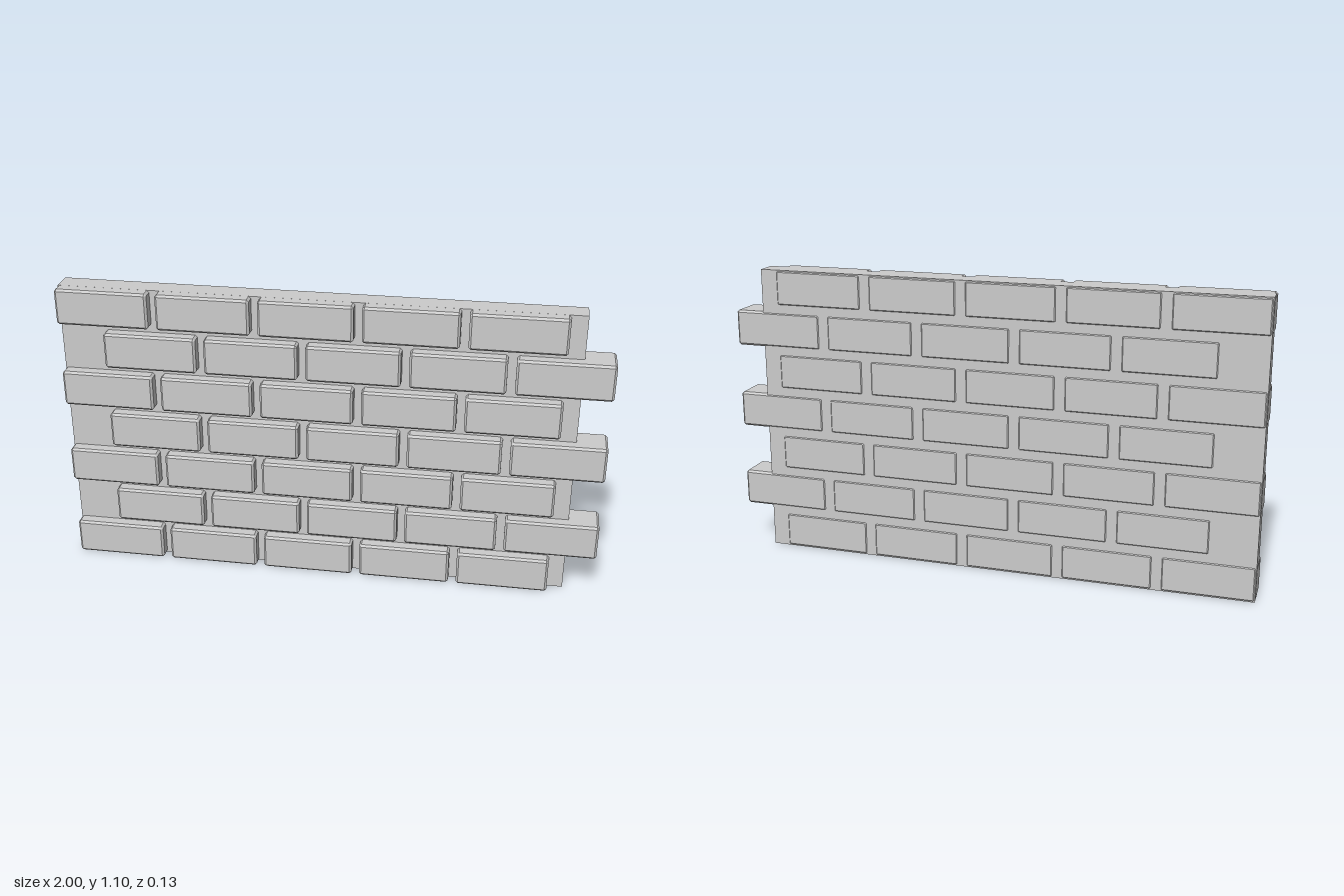
import * as THREE from 'three';
import { ConvexGeometry } from 'three/addons/geometries/ConvexGeometry.js';

const ROWS = 7, PER_ROW = 5;
const BRICK = { w: 0.342, h: 0.135, d: 0.131, bevel: 0.008 };
const PITCH_X = 0.372, PITCH_Y = 0.1608;

// Box with every edge chamfered: three corner points per box corner
function chamferedBox(w, h, d, c) {
  const points = [];
  for (const sx of [-1, 1]) for (const sy of [-1, 1]) for (const sz of [-1, 1]) {
    for (let full = 0; full < 3; full++) {
      const half = [w / 2, h / 2, d / 2].map((s, axis) => (axis === full ? s : s - c));
      points.push(new THREE.Vector3(sx * half[0], sy * half[1], sz * half[2]));
    }
  }
  return new ConvexGeometry(points);
}

export function createModel() {
  const model = new THREE.Group();
  model.name = 'brickWall';
  const material = new THREE.MeshStandardMaterial({ color: 0xcccccc, flatShading: true });

  // Mortar slab behind and between the bricks
  const mortar = new THREE.Mesh(new THREE.BoxGeometry(1.888, 1.1, 0.082), material);
  mortar.name = 'mortar';
  mortar.position.set(-0.055, 0.55, -0.021);
  model.add(mortar);

  // Staggered courses; odd ones shift right and overhang the slab end
  const geometry = chamferedBox(BRICK.w, BRICK.h, BRICK.d, BRICK.bevel);
  for (let row = 0; row < ROWS; row++) {
    const course = new THREE.Group();
    course.name = `course${row + 1}`;
    course.position.y = BRICK.h / 2 + row * PITCH_Y;
    const left = row % 2 ? 1 - BRICK.w - (PER_ROW - 1) * PITCH_X : -1;
    for (let i = 0; i < PER_ROW; i++) {
      const brick = new THREE.Mesh(geometry, material);
      brick.name = 'brick';
      brick.position.x = left + BRICK.w / 2 + i * PITCH_X;
      course.add(brick);
    }
    model.add(course);
  }
  return model;
}
